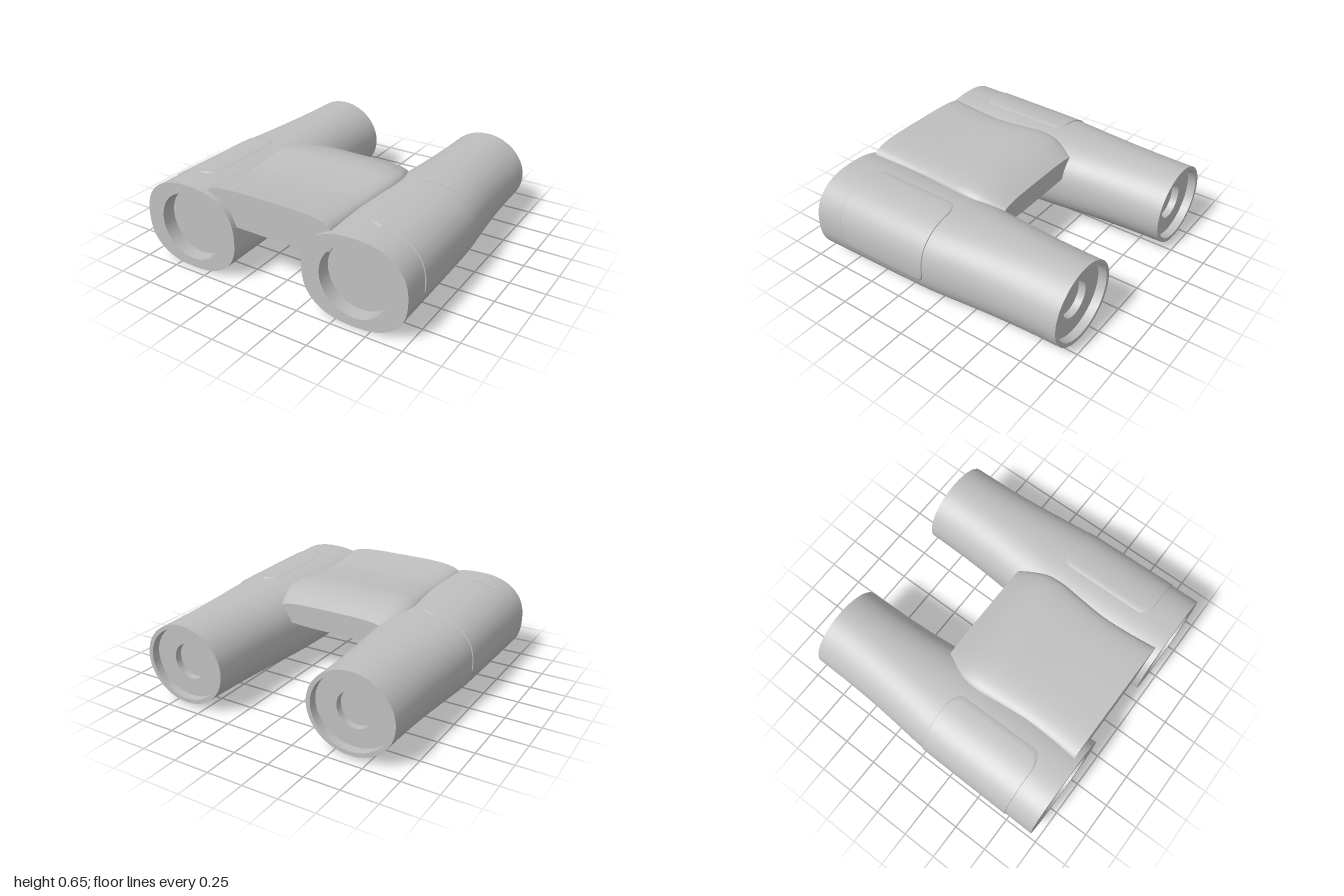
import * as THREE from 'three';

const grey = new THREE.MeshStandardMaterial({ color: 0xbfbfbf });
grey.name = 'light grey';

// Smooth skin over rows of points; rows may close on themselves
function skin(rows, closed) {
  const n = rows[0].length, cols = closed ? n : n - 1, index = [];
  for (let i = 0; i < rows.length - 1; i++) {
    for (let j = 0; j < cols; j++) {
      const k = (j + 1) % n;
      const a = i * n + j, b = i * n + k, c = a + n, d = b + n;
      index.push(a, b, c, b, d, c);
    }
  }
  const geo = new THREE.BufferGeometry().setFromPoints(rows.flat());
  geo.setIndex(index);
  geo.computeVertexNormals();
  return geo;
}

const soft = (v, p) => Math.sign(v) * Math.abs(v) ** p;

// Point on a superellipse of half sizes w, h and power n
function oval(t, w, h, n, z, cy = 0, cx = 0) {
  return new THREE.Vector3(cx + w * soft(Math.cos(t), 2 / n), cy + h * soft(Math.sin(t), 2 / n), z);
}

function ring(w, h, n, z, cy, cx, count = 72) {
  return Array.from({ length: count }, (_, i) => oval((i / count) * Math.PI * 2, w, h, n, z, cy, cx));
}

function add(parent, name, geo) {
  const mesh = new THREE.Mesh(geo, grey);
  mesh.name = name;
  parent.add(mesh);
  return mesh;
}

// Barrel outline: half width, half height and z
const barrelCurve = new THREE.CatmullRomCurve3([
  [0.305, 0.279, -0.95], [0.31, 0.282, -0.65], [0.32, 0.285, -0.42], [0.337, 0.288, -0.2],
  [0.354, 0.291, 0], [0.36, 0.294, 0.25], [0.364, 0.299, 0.55], [0.369, 0.305, 0.95],
].map((p) => new THREE.Vector3(...p)));
const barrelPower = (z) => 2 + 0.4 * THREE.MathUtils.smoothstep(z, -0.95, 0.3);
const barrelRows = barrelCurve.getPoints(70);

// Half sizes of the barrel at any z
function barrelAt(z) {
  let i = 0;
  while (i < barrelRows.length - 2 && barrelRows[i + 1].z < z) i++;
  const a = barrelRows[i], b = barrelRows[i + 1];
  return a.clone().lerp(b, (z - a.z) / (b.z - a.z));
}

// Slightly raised grip wrapping the outer side, with rounded corners
function gripPanel(side) {
  const z0 = 0.03, z1 = 0.74, t0 = -0.3, t1 = 1.66, cornerZ = 0.07, cornerT = 0.24;
  const nz = 44, nt = 40, rows = [];
  for (let i = 0; i <= nz; i++) {
    const f = (1 - Math.cos((i / nz) * Math.PI)) / 2;
    const z = z0 + (z1 - z0) * f;
    const e = Math.max(0, 1 - Math.min(z - z0, z1 - z) / cornerZ);
    const inset = cornerT * (1 - Math.sqrt(1 - e * e));
    const s = barrelAt(z), row = [];
    for (let j = 0; j <= nt; j++) {
      const edge = i === 0 || j === 0 || i === nz || j === nt;
      const lift = edge ? -0.004 : 0.006;
      const u = (side > 0 ? j : nt - j) / nt;
      const t = t0 + inset + (t1 - t0 - 2 * inset) * u;
      const p = oval(t, s.x + lift, s.y + lift, barrelPower(z), z);
      p.x *= side;
      row.push(p);
    }
    rows.push(row);
  }
  return skin(rows, false);
}

function barrel(side) {
  const g = new THREE.Group();
  g.name = side > 0 ? 'leftBarrel' : 'rightBarrel';
  g.position.set(0.631 * side, 0.309, 0);
  add(g, 'barrelShell', skin(barrelRows.map((s) => ring(s.x, s.y, barrelPower(s.z), s.z)), true));

  // End details, each a sharp band between two rings [w, h, power, z]
  const bands = {
    eyeHoleFloor: [[0, 0, 2, -0.84], [0.125, 0.125, 2, -0.84]],
    eyeHoleWall: [[0.125, 0.125, 2, -0.84], [0.125, 0.125, 2, -0.89]],
    eyepieceFace: [[0.125, 0.125, 2, -0.89], [0.275, 0.25, 2, -0.89]],
    eyecupWall: [[0.275, 0.25, 2, -0.89], [0.275, 0.25, 2, -0.95]],
    eyecupRim: [[0.275, 0.25, 2, -0.95], [0.305, 0.279, 2, -0.95]],
    frontRim: [[0.369, 0.305, 2.4, 0.95], [0.241, 0.241, 2, 0.95]],
    lensWall: [[0.241, 0.241, 2, 0.95], [0.241, 0.241, 2, 0.85]],
    lens: [[0.241, 0.241, 2, 0.85], [0, 0, 2, 0.85]],
  };
  for (const [name, pair] of Object.entries(bands)) add(g, name, skin(pair.map((p) => ring(...p)), true));
  add(g, 'gripPanel', gripPanel(side));
  return g;
}

// Wavy bridge: half width, top height and z
function bridge() {
  const g = new THREE.Group();
  g.name = 'bridge';
  const bottom = 0.397, cx = -0.022;
  const rows = new THREE.CatmullRomCurve3([
    [0.415, 0.555, -0.18], [0.455, 0.602, -0.08], [0.485, 0.63, 0.01], [0.493, 0.645, 0.13],
    [0.478, 0.638, 0.3], [0.463, 0.63, 0.5], [0.467, 0.638, 0.7], [0.482, 0.656, 0.91],
  ].map((p) => new THREE.Vector3(...p))).getPoints(48)
    .map((s) => ring(s.x, (s.y - bottom) / 2, 4, s.z, (s.y + bottom) / 2, cx, 96));
  const hub = (row) => row.map((p) => new THREE.Vector3(cx, 0.5, p.z));
  const first = rows[0], last = rows[rows.length - 1];
  add(g, 'bridgeShell', skin(rows, true));
  add(g, 'bridgeBack', skin([hub(first), first], true));
  add(g, 'bridgeFront', skin([last, hub(last)], true));
  return g;
}

export function createModel() {
  const model = new THREE.Group();
  model.name = 'binoculars';
  model.add(barrel(1), barrel(-1), bridge());
  return model;
}
